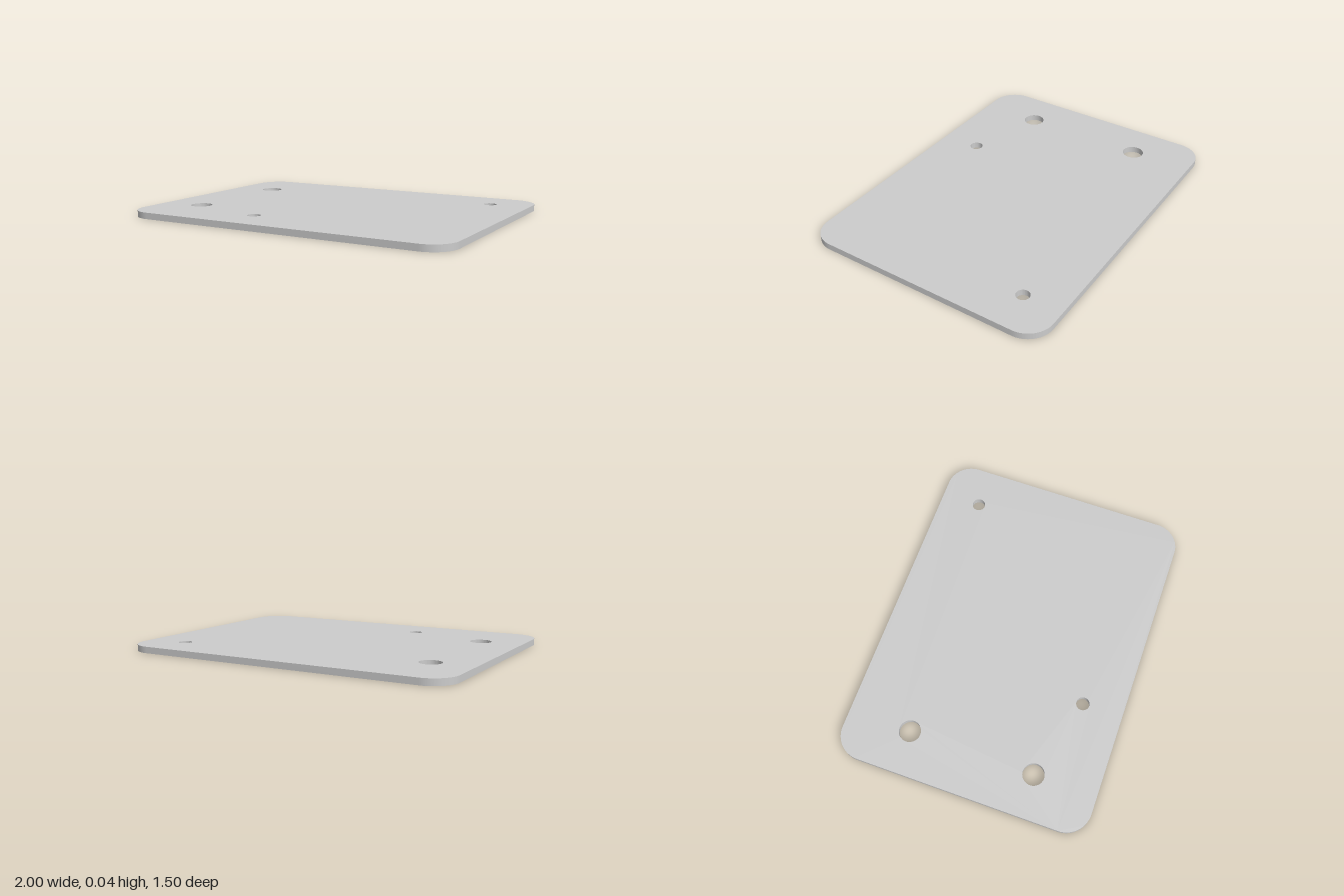
import * as THREE from 'three';
import { toCreasedNormals } from 'three/addons/utils/BufferGeometryUtils.js';

const W = 1, D = 0.75, R = 0.15, THICKNESS = 0.0375;

// x, z, radius of each through hole
const HOLES = [
  [-0.75, -0.375, 0.0635],
  [-0.75, 0.375, 0.0635],
  [0.76, -0.513, 0.039],
  [-0.265, 0.511, 0.039],
];

export function createModel() {
  const group = new THREE.Group();
  group.name = 'mountingPlate';

  // Rounded rectangle outline, drawn with shape y = -z
  const outline = new THREE.Shape();
  outline.absarc(W - R, D - R, R, 0, Math.PI / 2);
  outline.absarc(-W + R, D - R, R, Math.PI / 2, Math.PI);
  outline.absarc(-W + R, -D + R, R, Math.PI, Math.PI * 1.5);
  outline.absarc(W - R, -D + R, R, Math.PI * 1.5, Math.PI * 2);
  outline.closePath();

  // Drilled holes
  for (const [x, z, r] of HOLES) {
    outline.holes.push(new THREE.Path().absarc(x, -z, r, 0, Math.PI * 2, true));
  }

  // Flat plate laid on the ground
  const geometry = new THREE.ExtrudeGeometry(outline, {
    depth: THICKNESS, bevelEnabled: false, curveSegments: 24,
  });
  geometry.rotateX(-Math.PI / 2);

  const plate = new THREE.Mesh(
    toCreasedNormals(geometry, Math.PI / 6),
    new THREE.MeshStandardMaterial({ color: 0xcccccc }),
  );
  plate.name = 'plate';
  group.add(plate);
  return group;
}
